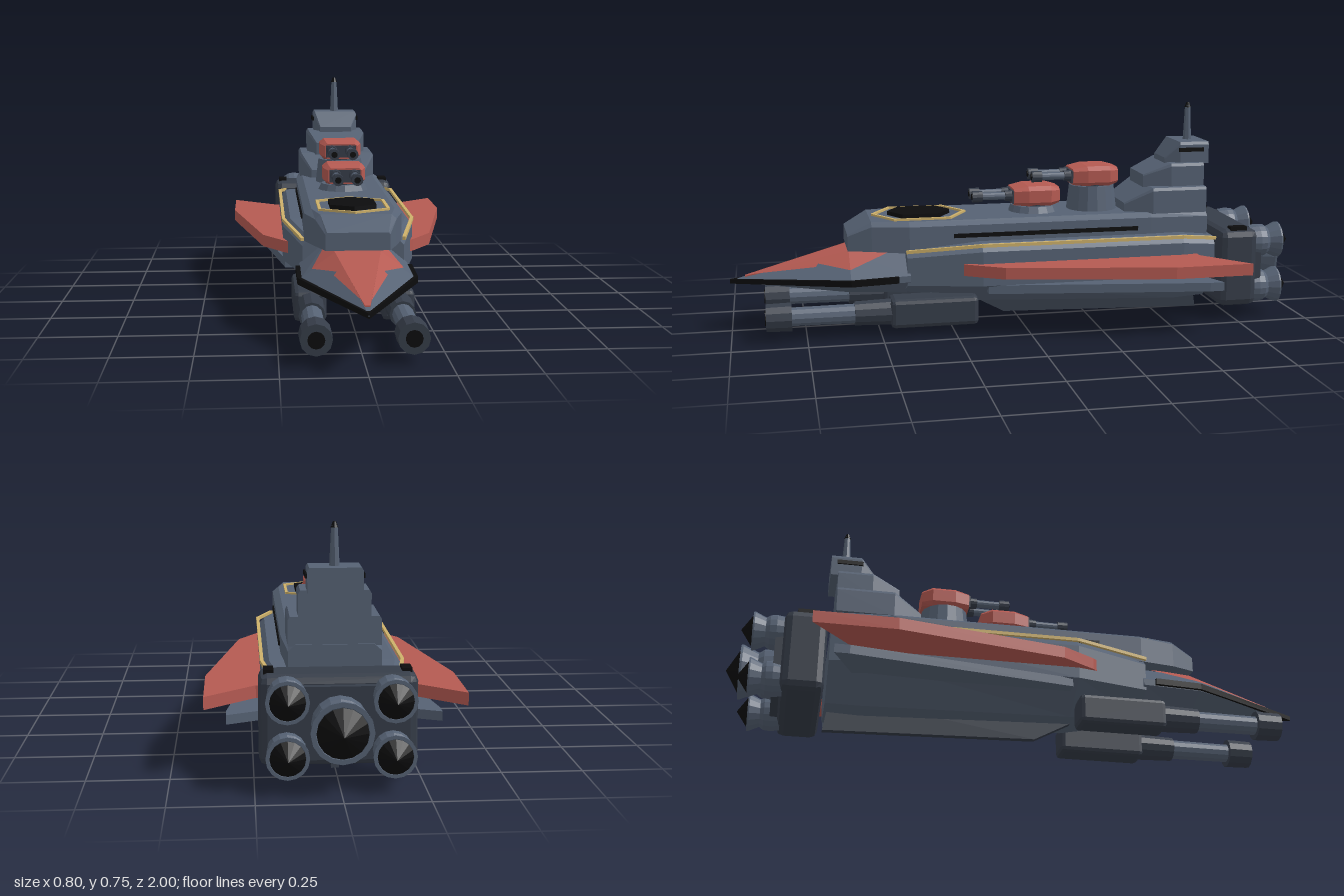
import * as THREE from 'three';
import { RoundedBoxGeometry } from 'three/addons/geometries/RoundedBoxGeometry.js';

const mat = (color) => new THREE.MeshStandardMaterial({ color, flatShading: true, side: THREE.DoubleSide });

export function createModel() {
  const root = new THREE.Group();
  const blue = mat(0x566274), dark = mat(0x363d49), red = mat(0xb55a52), gold = mat(0xcdb06a), black = mat(0x0c0c0d);

  const add = (name, geo, m, x = 0, y = 0, z = 0, parent = root) => {
    const mesh = new THREE.Mesh(geo, m);
    mesh.name = name;
    mesh.position.set(x, y, z);
    parent.add(mesh);
    return mesh;
  };
  const box = (name, m, w, h, d, x, y, z, parent) => add(name, new THREE.BoxGeometry(w, h, d), m, x, y, z, parent);

  const fromTriangles = (tris) => {
    const g = new THREE.BufferGeometry();
    g.setAttribute('position', new THREE.Float32BufferAttribute(tris.flat(), 3));
    g.computeVertexNormals();
    return g;
  };

  // Mirrored cross-sections [z, [[x, y] bottom to top]], listed from back to front
  const loft = (sections) => {
    const rings = sections.map(([z, half]) =>
      [...half, ...[...half].reverse().map(([x, y]) => [-x, y])].map(([x, y]) => [x, y, z]));
    const n = rings[0].length, t = [];
    for (let i = 0; i < rings.length - 1; i++) {
      for (let j = 0; j < n; j++) {
        const k = (j + 1) % n, a = rings[i][j], b = rings[i][k], c = rings[i + 1][k], d = rings[i + 1][j];
        t.push(a, b, c, a, c, d);
      }
    }
    const first = rings[0], last = rings[rings.length - 1];
    for (let j = 1; j < n - 1; j++) t.push(first[0], first[j + 1], first[j], last[0], last[j], last[j + 1]);
    return fromTriangles(t);
  };

  // Flat slab from an outline in plan, points [x, z]
  const slab = (pts, y0, y1) => {
    const shape = new THREE.Shape(pts.map(([x, z]) => new THREE.Vector2(x, -z)));
    return new THREE.ExtrudeGeometry(shape, { depth: y1 - y0, bevelEnabled: false }).rotateX(-Math.PI / 2).translate(0, y0, 0);
  };

  // Trim strips along a path of [x, y, z] points
  const trim = (name, pts, w) => {
    for (let i = 0; i < pts.length - 1; i++) {
      const a = new THREE.Vector3(...pts[i]), b = new THREE.Vector3(...pts[i + 1]);
      const strip = box(name, gold, w, w, a.distanceTo(b) + w * 0.5, 0, 0, 0);
      strip.position.copy(a).lerp(b, 0.5);
      strip.lookAt(b);
    }
  };

  // Cylinder lying along z
  const rod = (name, m, rFront, rBack, z0, z1, x, y, parent, n = 12) =>
    add(name, new THREE.CylinderGeometry(rFront, rBack, z1 - z0, n).rotateX(Math.PI / 2), m, x, y, (z0 + z1) / 2, parent);

  // Main hull with a sloped underside
  const hullSection = (z, w, top, low, flat) =>
    [z, [[flat, low], [w, 0.17], [w, top - 0.025], [w - 0.025, top]]];
  add('hull', loft([
    hullSection(-0.67, 0.2, 0.3, 0.065, 0.09), hullSection(-0.55, 0.222, 0.313, 0.06, 0.1),
    hullSection(0.16, 0.222, 0.313, 0.085, 0.08), hullSection(0.41, 0.165, 0.29, 0.12, 0.04)]), blue);
  add('keel', new THREE.ExtrudeGeometry(new THREE.Shape([[0.2, 0.1], [0.05, 0.02], [-0.67, 0], [-0.65, 0.13]]
    .map((p) => new THREE.Vector2(...p))), { depth: 0.024, bevelEnabled: false })
    .rotateY(-Math.PI / 2).translate(0.012, 0, 0), dark);

  // Upper deck
  add('upperDeck', loft([
    [-0.66, [[0.143, 0.28], [0.143, 0.365], [0.12, 0.385]]],
    [-0.45, [[0.158, 0.28], [0.158, 0.37], [0.135, 0.385]]],
    [0.4, [[0.158, 0.28], [0.158, 0.37], [0.135, 0.385]]],
    [0.525, [[0.128, 0.285], [0.128, 0.37], [0.112, 0.385]]],
    [0.605, [[0.1, 0.285], [0.1, 0.335], [0.095, 0.341]]]]), blue);

  // Nose wedge, black cutting edge and red bow plating
  add('nose', loft([
    [0.4, [[0.04, 0.115], [0.175, 0.185], [0.175, 0.207], [0.08, 0.287]]],
    [0.6, [[0.035, 0.125], [0.175, 0.178], [0.175, 0.2], [0.07, 0.275]]],
    [1, [[0.001, 0.173], [0.002, 0.175], [0.002, 0.177], [0.001, 0.178]]]]), blue);
  add('noseEdge', loft([
    [0.44, [[0.188, 0.186], [0.188, 0.207]]], [0.6, [[0.187, 0.18], [0.187, 0.201]]],
    [1, [[0.002, 0.168], [0.002, 0.183]]]]), black);
  add('bowPlate', loft([
    [0.42, [[0.08, 0.27], [0.08, 0.291]]], [0.6, [[0.071, 0.262], [0.071, 0.279]]],
    [0.95, [[0.008, 0.185], [0.008, 0.194]]]]), red);
  const onNose = (t, u, s) => [s * t * (0.071 + u * 0.105), 0.178 + t * (0.098 - u * 0.075) + 0.004, 1 - 0.4 * t];
  for (const s of [1, -1]) {
    const [a, b, c, d, e] = [[0.2, 0], [0.72, 0.4], [0.74, 0.25], [1, 0.68], [1, 0]].map(([t, u]) => onNose(t, u, s));
    const f = [s * 0.081, 0.291, 0.42];
    const tris = [a, b, c, a, c, e, c, d, e, e, d, f];
    add('bowSpike', fromTriangles(s > 0 ? tris : tris.reverse()), red);
  }

  for (const s of [1, -1]) {
    // Wings
    const flip = (pts) => pts.map(([x, z]) => [s * x, z]);
    add('upperWing', slab(flip([[0.15, 0.29], [0.22, 0.21], [0.29, 0.095], [0.398, -0.465], [0.398, -0.735], [0.24, -0.6], [0.15, -0.6]]), 0.207, 0.247), red);
    add('lowerWing', slab(flip([[0.15, 0.14], [0.215, 0.14], [0.332, -0.61], [0.332, -0.66], [0.15, -0.58]]), 0.14, 0.17), blue);
    // Hull trim and side slots
    trim('hullTrim', [[s * 0.165, 0.287, 0.41], [s * 0.22, 0.31, 0.16], [s * 0.22, 0.31, -0.55], [s * 0.198, 0.297, -0.67]], 0.011);
    box('deckSlot', black, 0.012, 0.014, 0.65, s * 0.157, 0.335, -0.075);
    // Underslung cannons
    const gun = new THREE.Group();
    gun.name = 'cannon';
    gun.position.set(s * 0.142, 0.078, 0);
    root.add(gun);
    add('cannonHousing', new RoundedBoxGeometry(0.105, 0.1, 0.3, 1, 0.015), dark, 0, 0, 0.32, gun);
    rod('cannonCollar', dark, 0.042, 0.046, 0.46, 0.59, 0, 0, gun);
    rod('cannonBarrel', blue, 0.032, 0.034, 0.58, 0.81, 0, 0, gun);
    rod('cannonMuzzle', dark, 0.048, 0.05, 0.8, 0.885, 0, 0, gun);
    rod('cannonBore', black, 0.026, 0.026, 0.86, 0.888, 0, 0, gun);
  }

  // Hexagonal deck hatch
  const hex = (k) => [[0, 0.16], [0.11, 0.095], [0.11, -0.095], [0, -0.16], [-0.11, -0.095], [-0.11, 0.095]]
    .map(([x, z]) => [x * k, 0.35 + z * k]);
  const frame = hex(1).map(([x, z]) => [x, 0.387, z]);
  trim('hatchFrame', [...frame, frame[0]], 0.01);
  add('hatchPlate', slab(hex(0.68), 0.38, 0.399), black);

  // Gun turrets
  const turret = (z, y, pedestal) => {
    const g = new THREE.Group();
    g.name = 'turret';
    g.position.set(0, y, z);
    root.add(g);
    add('turretPedestal', new THREE.CylinderGeometry(0.08, 0.09, pedestal, 16), blue, 0, -0.035 - pedestal / 2, 0, g);
    add('turretRing', new THREE.CylinderGeometry(0.065, 0.065, 0.02, 16), dark, 0, -0.035, 0, g);
    add('turretBody', loft([
      [-0.085, [[0.035, -0.028], [0.05, -0.018], [0.05, 0.018], [0.035, 0.028]]],
      [-0.05, [[0.06, -0.034], [0.075, -0.02], [0.075, 0.022], [0.058, 0.036]]],
      [0.03, [[0.06, -0.034], [0.075, -0.02], [0.075, 0.022], [0.058, 0.036]]],
      [0.08, [[0.05, -0.03], [0.06, -0.02], [0.06, 0.018], [0.05, 0.026]]]]), red, 0, 0, 0, g);
    box('turretFace', dark, 0.11, 0.044, 0.02, 0, -0.002, 0.076, g);
    for (const s of [1, -1]) {
      rod('turretBarrelSleeve', dark, 0.018, 0.02, 0.08, 0.11, s * 0.033, 0.002, g);
      rod('turretBarrel', blue, 0.013, 0.014, 0.1, 0.2, s * 0.033, 0.002, g);
      rod('turretMuzzle', dark, 0.02, 0.02, 0.19, 0.225, s * 0.033, 0.002, g);
      rod('turretBore', black, 0.011, 0.011, 0.21, 0.227, s * 0.033, 0.002, g);
    }
  };
  turret(-0.06, 0.442, 0.022);
  turret(-0.272, 0.506, 0.086);

  // Stepped bridge tower: half width, bottom, top, back, shoulder, front, front top
  for (const [w, y0, y1, zb, zs, zf, yf] of [
    [0.143, 0.38, 0.47, -0.655, -0.46, -0.365, 0.415],
    [0.111, 0.465, 0.55, -0.655, -0.535, -0.44, 0.51],
    [0.085, 0.545, 0.622, -0.68, -0.575, -0.525, 0.565]]) {
    add('bridgeTier', loft([
      [zb, [[w, y0], [w, y1 - 0.01], [w - 0.006, y1]]],
      [zs, [[w, y0], [w, y1 - 0.01], [w - 0.006, y1]]],
      [zf, [[w * 0.72, y0], [w * 0.72, yf - 0.005], [w * 0.7, yf]]]]), blue);
  }
  box('bridgeWindow', black, 0.182, 0.014, 0.09, 0, 0.595, -0.615);
  add('mast', new THREE.CylinderGeometry(0.01, 0.016, 0.125, 8), blue, 0, 0.68, -0.627);
  add('mastTip', new THREE.CylinderGeometry(0.005, 0.012, 0.018, 8), black, 0, 0.746, -0.627);

  // Engine block
  add('engineBlock', new RoundedBoxGeometry(0.47, 0.275, 0.14, 1, 0.025), dark, 0, 0.19, -0.75);
  box('engineBackPlate', dark, 0.4, 0.22, 0.04, 0, 0.19, -0.825);
  for (const s of [1, -1]) box('blockClamp', black, 0.03, 0.02, 0.06, s * 0.205, 0.327, -0.75);

  // Thruster nozzles facing back
  const nozzle = (x, y, r, z0, z1, tip) => {
    const L = z0 - z1;
    const profile = [[0.85, 0], [0.92, 0.3], [0.88, 0.5], [0.74, 0.62], [1, 0.95], [1, 1], [0.84, 1], [0.7, 0.8]]
      .map(([a, b]) => new THREE.Vector2(a * r, b * L));
    add('thruster', new THREE.LatheGeometry(profile, 16).rotateX(-Math.PI / 2), blue, x, y, z0);
    add('thrusterCore', new THREE.ConeGeometry(r * 0.82, z1 - tip, 16).rotateX(-Math.PI / 2), black, x, y, (z1 + tip) / 2);
  };
  nozzle(0, 0.19, 0.092, -0.8, -0.955, -1);
  for (const x of [0.155, -0.155]) for (const y of [0.272, 0.108]) nozzle(x, y, 0.064, -0.81, -0.92, -0.957);

  return root;
}
